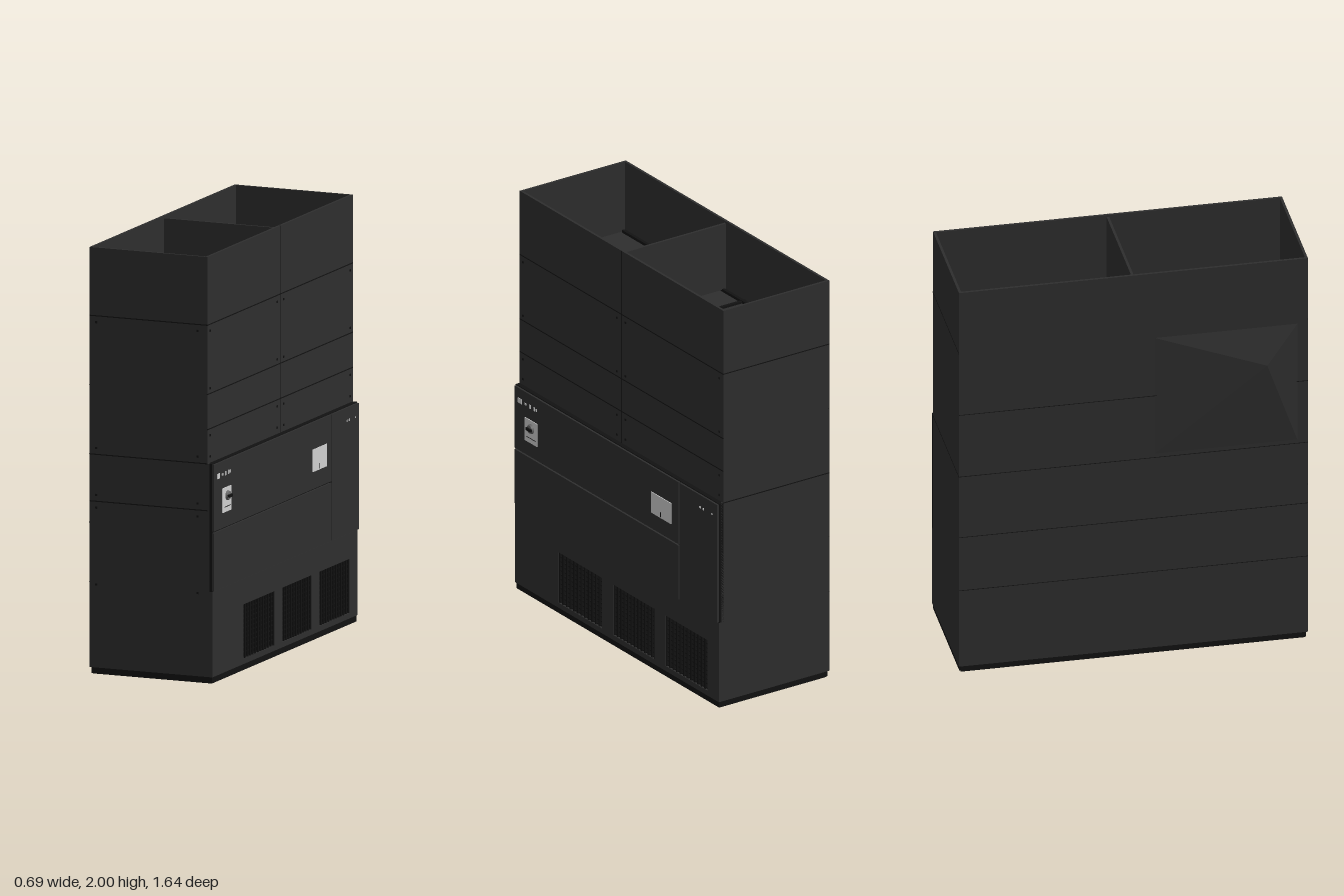
import * as THREE from 'three';

const mat = (name, color) => {
  const m = new THREE.MeshStandardMaterial({ color });
  m.name = name;
  return m;
};

export function createModel() {
  const steel = mat('dark steel', 0x2e2e2e);
  const seamBlack = mat('seam black', 0x121212);
  const labelGrey = mat('label light grey', 0xcfcfcf);
  const coilGrey = mat('coil grey', 0x6a6a6a);
  const bent = mat('bent sheet steel', 0x2e2e2e);
  bent.side = THREE.DoubleSide;

  const root = new THREE.Group();
  root.name = 'coolingCabinet';

  // Box given by its min and max on each axis
  const box = (name, m, x0, x1, y0, y1, z0, z1, parent = root) => {
    const mesh = new THREE.Mesh(new THREE.BoxGeometry(x1 - x0, y1 - y0, z1 - z0), m);
    mesh.position.set((x0 + x1) / 2, (y0 + y1) / 2, (z0 + z1) / 2);
    mesh.name = name;
    parent.add(mesh);
    return mesh;
  };
  const L = -0.305, R = 0.29, Z = 0.82, T = 0.012;

  // Base: skid rails, floor and cross ribs underneath
  for (const s of [-1, 1]) box('baseEndRail', seamBlack, -0.29, 0.31, 0, 0.03, s > 0 ? 0.78 : -0.815, s > 0 ? 0.815 : -0.78);
  box('baseSideRail', seamBlack, -0.3, -0.27, 0, 0.03, -0.81, 0.81);
  box('baseSideRail', seamBlack, 0.28, 0.31, 0, 0.03, -0.81, 0.81);
  box('floor', steel, L, 0.3, 0.03, 0.042, -Z, Z);
  for (const z of [-0.27, 0.27]) box('floorRib', seamBlack, -0.27, 0.28, 0.015, 0.03, z - 0.008, z + 0.008);

  // Shell walls, open at the top
  box('leftWall', steel, L, L + T, 0.03, 2, -Z, Z);
  box('rightUpperWall', steel, R - T, R, 0.43, 2, -Z, Z);
  for (const s of [-1, 1]) {
    const z0 = s > 0 ? Z - T : -Z, z1 = s > 0 ? Z : -Z + T;
    box('endWall', steel, L + T, R - T, 0.03, 2, z0, z1);
    box('lowerEndWall', steel, R - T, 0.3, 0.03, 1.03, z0, z1);
  }
  box('plenumDivider', steel, L + T, R - T, 1.66, 1.99, -0.006, 0.006);

  // Lower grille panel with three openings
  const grilles = [[0.12, 0.47], [-0.3, 0.03], [-0.73, -0.39]];
  const panel = new THREE.Shape([[-Z, 0.03], [Z, 0.03], [Z, 0.43], [-Z, 0.43]].map(p => new THREE.Vector2(...p)));
  for (const [a, b] of grilles) {
    panel.holes.push(new THREE.Path([[-b, 0.055], [-b, 0.31], [-a, 0.31], [-a, 0.055]].map(p => new THREE.Vector2(...p))));
  }
  const grillePanel = new THREE.Mesh(new THREE.ExtrudeGeometry(panel, { depth: 0.02, bevelEnabled: false }), steel);
  grillePanel.rotation.y = Math.PI / 2;
  grillePanel.position.x = 0.295;
  grillePanel.name = 'grillePanel';
  root.add(grillePanel);

  // Grille bars with the coil set back behind them
  for (const [a, b] of grilles) {
    const g = new THREE.Group();
    g.name = 'airGrille';
    root.add(g);
    for (let i = 0; i <= 12; i++) {
      const z = a + ((b - a) * i) / 12;
      box('verticalBar', seamBlack, 0.293, 0.312, 0.05, 0.315, z - 0.005, z + 0.005, g);
    }
    for (let i = 0; i <= 11; i++) {
      const y = 0.06 + 0.0225 * i;
      box('crossWire', seamBlack, 0.297, 0.307, y - 0.003, y + 0.003, a, b, g);
    }
    box('coil', coilGrey, 0.2, 0.24, 0.1, 0.29, a + 0.04, b - 0.02, g);
  }

  // Raised service doors on the right side
  const door = (name, y0, y1, z0, z1) => {
    box(name + 'Gasket', seamBlack, R, 0.312, y0, y1, z0, z1);
    box(name, steel, 0.308, 0.322, y0 + 0.004, y1 - 0.004, z0 + 0.004, z1 - 0.004);
  };
  door('upperDoor', 0.71, 1.03, -0.51, Z);
  door('middleDoor', 0.43, 0.71, -0.51, Z);
  door('controlDoor', 0.43, 1.03, -Z, -0.51);

  // Labels, small marks and the isolator switch
  box('switchLabel', labelGrey, 0.322, 0.326, 0.785, 0.9, 0.63, 0.73);
  box('ratingLabel', labelGrey, 0.322, 0.326, 0.795, 0.9, -0.45, -0.29);
  box('labelDivider', seamBlack, 0.322, 0.327, 0.8, 0.825, -0.37, -0.365);
  box('labelLine', seamBlack, 0.322, 0.327, 0.808, 0.811, 0.64, 0.71);
  for (const [z, w, h] of [[0.77, 0.03, 0.024], [0.725, 0.012, 0.01], [0.69, 0.012, 0.02], [0.655, 0.008, 0.018],
    [0.637, 0.008, 0.012], [-0.68, 0.01, 0.01], [-0.707, 0.008, 0.01], [-0.775, 0.008, 0.006]]) {
    box('smallMark', labelGrey, 0.322, 0.325, 0.966 - h / 2, 0.966 + h / 2, z - w / 2, z + w / 2);
  }
  const knob = new THREE.Mesh(new THREE.CylinderGeometry(0.02, 0.024, 0.012, 16), coilGrey);
  knob.rotation.z = -Math.PI / 2;
  knob.position.set(0.331, 0.86, 0.675);
  knob.name = 'switchKnob';
  root.add(knob);
  box('switchHandle', seamBlack, 0.335, 0.345, 0.853, 0.866, 0.655, 0.695);

  // Sheet seams as thin strips
  const e = 0.0025;
  for (const y of [1.19, 1.355, 1.68]) box('rightSeam', seamBlack, R - 0.004, R + 0.001, y - e, y + e, -Z, Z);
  box('rightCentreSeam', seamBlack, R - 0.004, R + 0.001, 1.03, 2, -e, e);
  for (const y of [0.43, 0.71, 1.03, 1.355]) box('leftSeam', seamBlack, L - 0.001, L + 0.004, y - 0.0015, y + 0.0015, -Z, Z);
  for (const s of [-1, 1]) {
    const z = s * Z;
    for (const y of s > 0 ? [0.81, 1.03, 1.68] : [1.03, 1.68]) {
      box('endSeam', seamBlack, L, R, y - e, y + e, z - 0.001, z + 0.001);
    }
  }

  // Screws along the panel corners
  for (const y of [1.06, 1.16, 1.38, 1.65]) {
    for (const z of [-0.79, -0.035, 0.035, 0.79]) box('sideScrew', seamBlack, R, R + 0.003, y - 0.005, y + 0.005, z - 0.005, z + 0.005);
  }
  for (const y of [0.42, 0.78, 0.84, 1.06, 1.65]) {
    for (const x of [-0.27, 0.24]) box('endScrew', seamBlack, x - 0.005, x + 0.005, y - 0.005, y + 0.005, Z, Z + 0.002);
  }

  // Bent sheet pushed out of the left wall
  const bulge = new THREE.BufferGeometry();
  bulge.setAttribute('position', new THREE.Float32BufferAttribute([
    L, 1.05, 0.1, L, 1.05, 0.77, L, 1.66, 0.77, L, 1.66, 0.1, -0.35, 1.48, 0.62], 3));
  bulge.setIndex([0, 1, 4, 1, 2, 4, 2, 3, 4, 3, 0, 4]);
  const bulgeFlat = bulge.toNonIndexed();
  bulgeFlat.computeVertexNormals();
  const bulgeMesh = new THREE.Mesh(bulgeFlat, bent);
  bulgeMesh.name = 'bentSheet';
  root.add(bulgeMesh);

  // Fan deck with polygonal inlets
  const fanZ = [-0.62, -0.19, 0.28];
  const deckShape = new THREE.Shape([[L + T, -Z + T], [R - T, -Z + T], [R - T, Z - T], [L + T, Z - T]].map(p => new THREE.Vector2(...p)));
  for (const z of fanZ) {
    const hole = new THREE.Path();
    for (let i = 0; i < 6; i++) {
      const a = (i * Math.PI) / 3;
      hole[i ? 'lineTo' : 'moveTo'](Math.cos(a) * 0.1, -z + Math.sin(a) * 0.13);
    }
    hole.closePath();
    deckShape.holes.push(hole);
  }
  const deck = new THREE.Mesh(new THREE.ExtrudeGeometry(deckShape, { depth: T, bevelEnabled: false }), steel);
  deck.rotation.x = -Math.PI / 2;
  deck.position.y = 1.64;
  deck.name = 'fanDeck';
  root.add(deck);
  for (const z of [-0.48, -0.16, 0.16, 0.48]) box('deckRail', seamBlack, L + T, R - T, 1.652, 1.662, z - 0.008, z + 0.008);
  for (const x of [-0.285, 0.25]) box('deckEdgeRail', seamBlack, x, x + 0.015, 1.652, 1.665, -0.8, 0.8);

  // Fans below the deck
  for (const z of fanZ) {
    const fan = new THREE.Group();
    fan.name = 'fan';
    fan.position.set(0, 1.58, z);
    const plate = new THREE.Mesh(new THREE.CylinderGeometry(0.15, 0.15, 0.01, 24), steel);
    plate.position.y = -0.06;
    const hub = new THREE.Mesh(new THREE.CylinderGeometry(0.04, 0.05, 0.05, 16), seamBlack);
    fan.add(plate, hub);
    for (let i = 0; i < 7; i++) {
      const arm = new THREE.Group();
      arm.rotation.y = (i * Math.PI * 2) / 7;
      const blade = box('fanBlade', seamBlack, 0.03, 0.13, -0.004, 0.004, -0.025, 0.025, arm);
      blade.rotation.x = 0.7;
      fan.add(arm);
    }
    root.add(fan);
  }
  return root;
}
